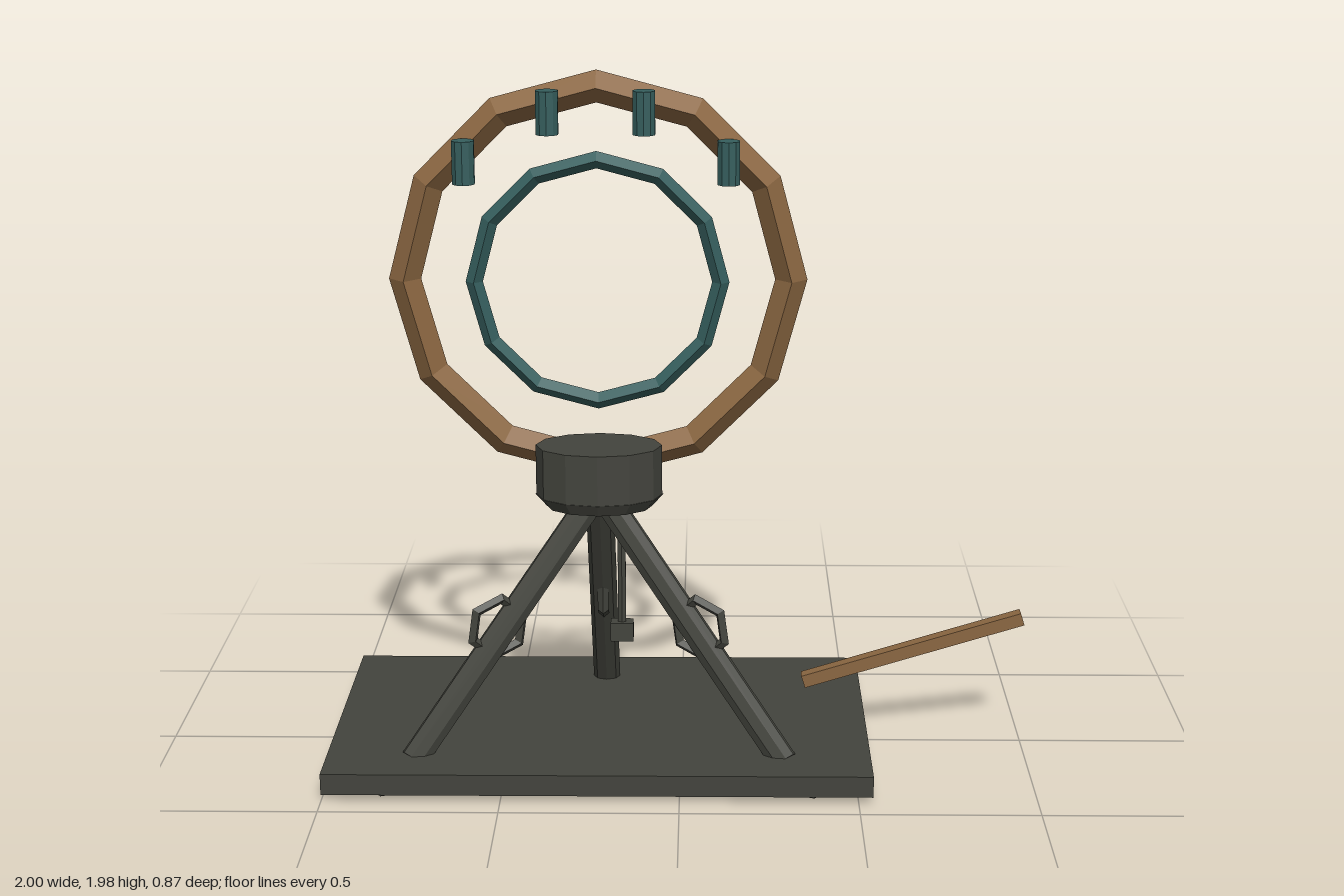
import * as THREE from 'three';

export function createModel() {
  const model = new THREE.Group();
  const material = (name, color) => {
    const m = new THREE.MeshStandardMaterial({ color, flatShading: true });
    m.name = name;
    return m;
  };
  const iron = material('dark iron', 0x43443d);
  const wood = material('wood', 0x8b6742);
  const teal = material('teal metal', 0x365f5e);

  function add(parent, name, geometry, mat, x = 0, y = 0, z = 0) {
    const mesh = new THREE.Mesh(geometry, mat);
    mesh.name = name;
    mesh.position.set(x, y, z);
    parent.add(mesh);
    return mesh;
  }

  // Base slab
  add(model, 'base', new THREE.BoxGeometry(1.54, 0.062, 0.87), iron, -0.23, 0.051, 0);

  // Tripod, squashed front to back
  const tripod = new THREE.Group();
  tripod.name = 'tripod';
  tripod.position.set(-0.23, 0, 0.097);
  tripod.scale.z = 0.65;
  model.add(tripod);

  add(tripod, 'hub', new THREE.CylinderGeometry(0.178, 0.178, 0.145, 12), iron, 0, 0.867, 0);
  add(tripod, 'hubCollar', new THREE.CylinderGeometry(0.181, 0.15, 0.035, 12), iron, 0, 0.778, 0);

  // Three legs, each with a hexagonal grip ring and a foot pad
  const top = new THREE.Vector2(0.025, 0.78);
  const foot = new THREE.Vector2(0.605, 0.065);
  const tilt = Math.atan2(foot.x - top.x, top.y - foot.y);
  for (let i = 0; i < 3; i++) {
    const leg = new THREE.Group();
    leg.name = 'leg' + (i + 1);
    leg.rotation.y = Math.PI / 2 + (i * 2 * Math.PI) / 3;
    tripod.add(leg);
    const strut = add(leg, 'strut', new THREE.CylinderGeometry(0.04, 0.04, top.distanceTo(foot), 8), iron,
      (top.x + foot.x) / 2, (top.y + foot.y) / 2, 0);
    strut.rotation.z = tilt;
    const grip = add(leg, 'gripRing', new THREE.TorusGeometry(0.085, 0.016, 4, 6), iron, 0.33, 0.432, 0);
    grip.rotation.z = tilt;
    add(leg, 'footPad', new THREE.BoxGeometry(0.28, 0.022, 0.2), iron, 0.62, 0.011, 0);
  }

  // Hanging plumb weight
  add(tripod, 'plumbRod', new THREE.CylinderGeometry(0.013, 0.013, 0.38, 6), iron, 0.062, 0.59, 0);
  add(tripod, 'plumbWeight', new THREE.BoxGeometry(0.065, 0.055, 0.065), iron, 0.062, 0.383, 0);

  // Twelve-sided wooden hoop and slimmer inner hoop
  add(model, 'outerRing', new THREE.TorusGeometry(0.54, 0.045, 4, 12), wood, -0.232, 1.395, 0);
  add(model, 'innerRing', new THREE.TorusGeometry(0.343, 0.024, 4, 12), teal, -0.232, 1.395, 0.035);

  // Small canisters along the top of the hoop
  for (const side of [-1, 1]) {
    for (const [dx, y] of [[0.363, 1.735], [0.132, 1.872]]) {
      add(model, 'canister', new THREE.CylinderGeometry(0.032, 0.032, 0.12, 10), teal,
        -0.232 + side * dx, y, 0.062);
    }
  }

  // Slanted wooden handle at the side
  const handle = add(model, 'handle', new THREE.BoxGeometry(0.665, 0.038, 0.038), wood, 0.675, 0.29, 0);
  handle.rotation.z = 0.304;

  return model;
}
